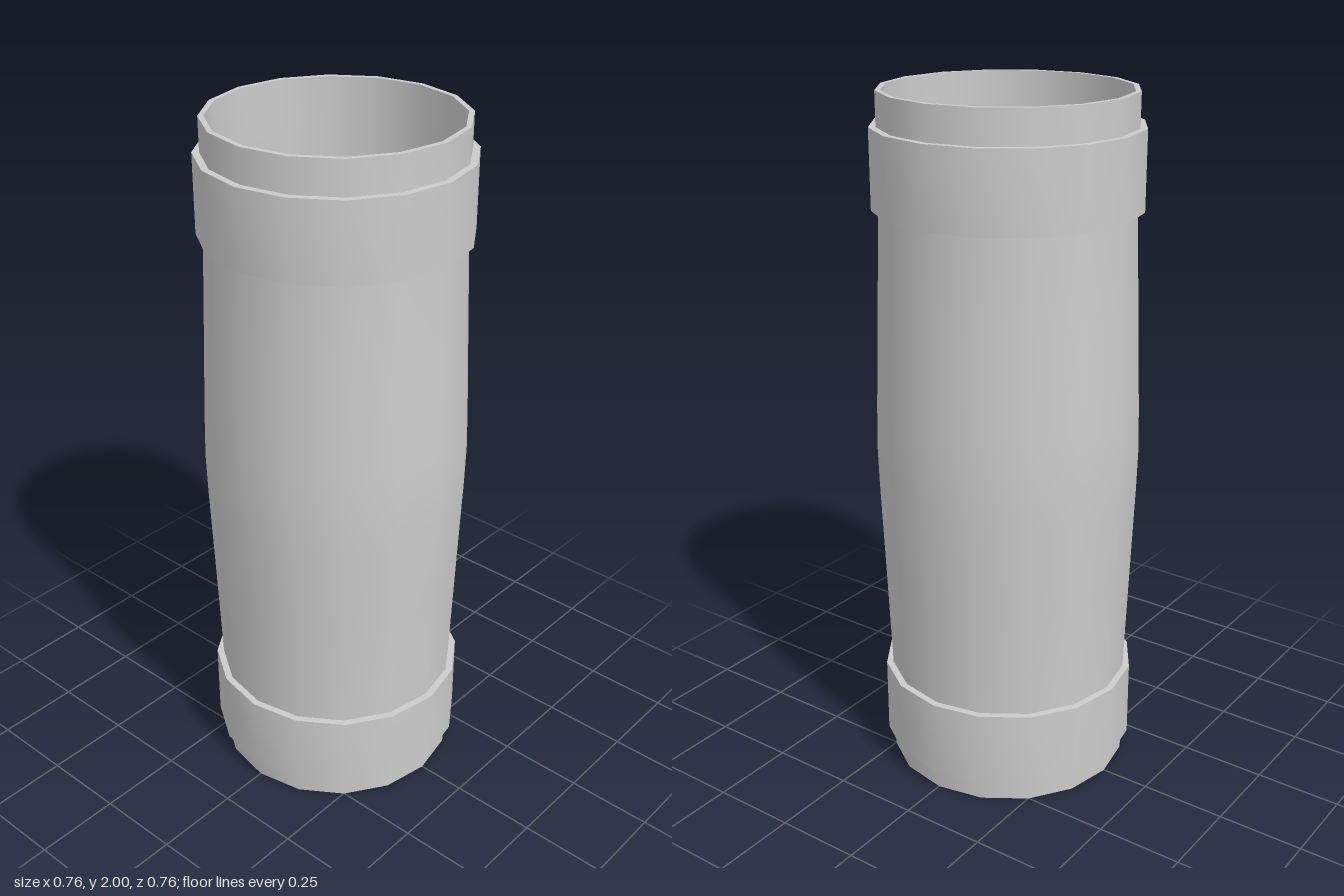
import * as THREE from 'three';
import { toCreasedNormals } from 'three/addons/utils/BufferGeometryUtils.js';

const SIDES = 16;

// Revolve a closed [radius, height] profile, keeping its corners sharp
function revolve(name, profile, material) {
  const points = profile.map(([r, y]) => new THREE.Vector2(r, y));
  const geometry = toCreasedNormals(new THREE.LatheGeometry(points, SIDES), 0.7);
  const mesh = new THREE.Mesh(geometry, material);
  mesh.name = name;
  return mesh;
}

export function createModel() {
  const group = new THREE.Group();
  group.name = 'bandedTube';
  const material = new THREE.MeshStandardMaterial({ color: 0xcccccc });

  // Hollow body: gently swollen wall, closed floor, open top
  const wall = 0.015;
  const outer = [
    [0.355, 0], [0.355, 0.29], [0.367, 0.62], [0.377, 0.88], [0.38, 1],
    [0.377, 1.12], [0.367, 1.38], [0.355, 1.7], [0.355, 2],
  ];
  const inner = outer.map(([r, y]) => [r - wall, Math.max(y, 0.02)]).reverse();
  group.add(revolve('body', [[0, 0], ...outer, ...inner, [0, 0.02]], material));

  // Raised bands near each end
  for (const [name, bottom, top] of [['lowerBand', 0.062, 0.29], ['upperBand', 1.682, 1.905]]) {
    group.add(revolve(name, [
      [0.35, bottom], [0.375, bottom], [0.375, top], [0.35, top], [0.35, bottom],
    ], material));
  }
  return group;
}
